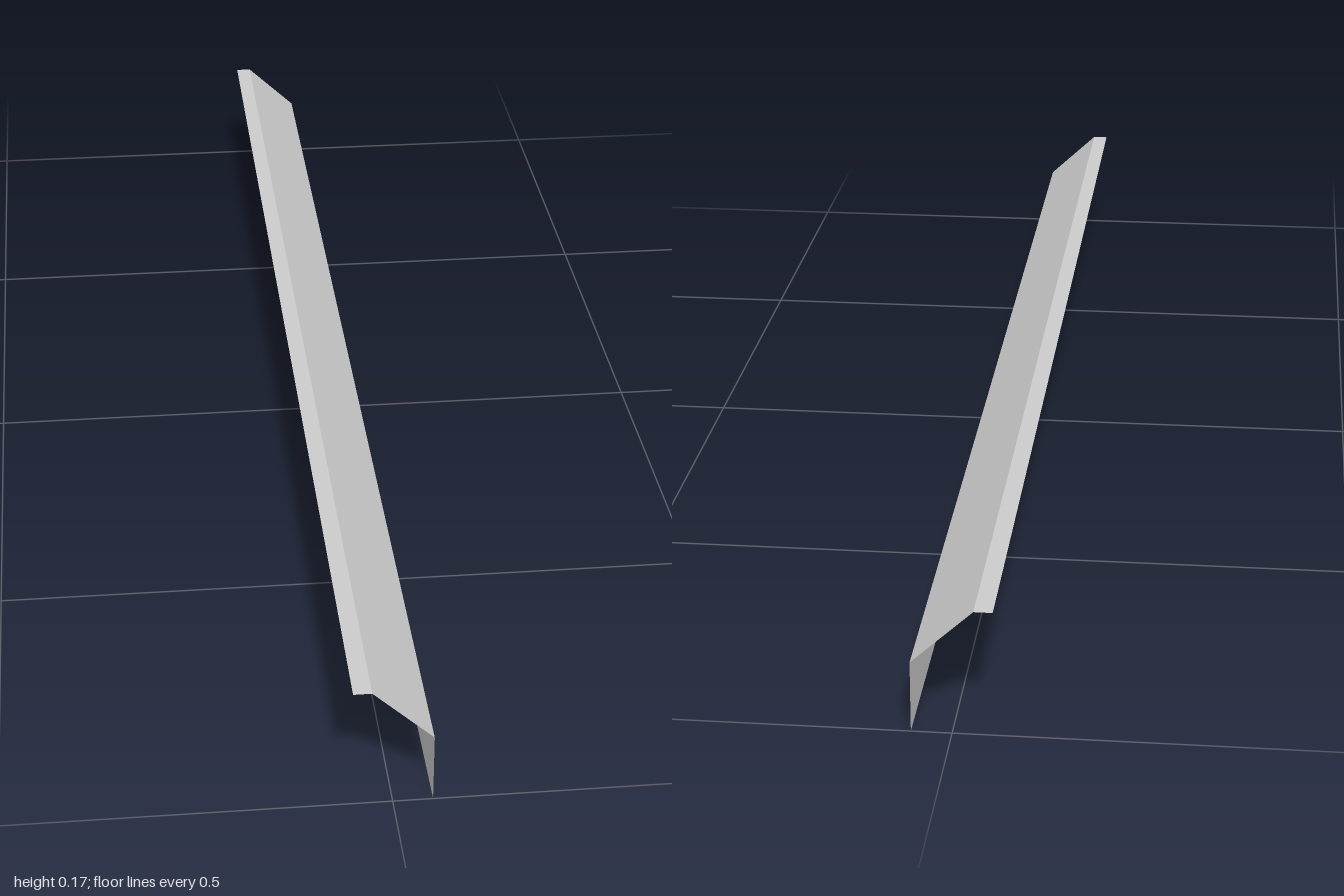
import * as THREE from 'three';

// Bent sheet profile in x, y: wall foot, wall top, slope top, lip edge
const profile = [[0.052, 0], [0.052, 0.097], [-0.028, 0.171], [-0.052, 0.171]];
const names = ['verticalWall', 'slopedPanel', 'topLip'];
const halfLength = 1;

// Flat strip running along z between two profile points
function strip([x0, y0], [x1, y1]) {
  const geometry = new THREE.PlaneGeometry(1, 1);
  const p = geometry.attributes.position;
  for (let i = 0; i < p.count; i++) {
    const t = p.getY(i) + 0.5;
    const z = -p.getX(i) * 2 * halfLength;
    p.setXYZ(i, x0 + (x1 - x0) * t, y0 + (y1 - y0) * t, z);
  }
  geometry.computeVertexNormals();
  return geometry;
}

export function createModel() {
  const group = new THREE.Group();
  group.name = 'foldedEdgeTrim';
  const material = new THREE.MeshStandardMaterial({ color: 0xcccccc, side: THREE.DoubleSide });
  names.forEach((name, i) => {
    const mesh = new THREE.Mesh(strip(profile[i], profile[i + 1]), material);
    mesh.name = name;
    group.add(mesh);
  });
  return group;
}
